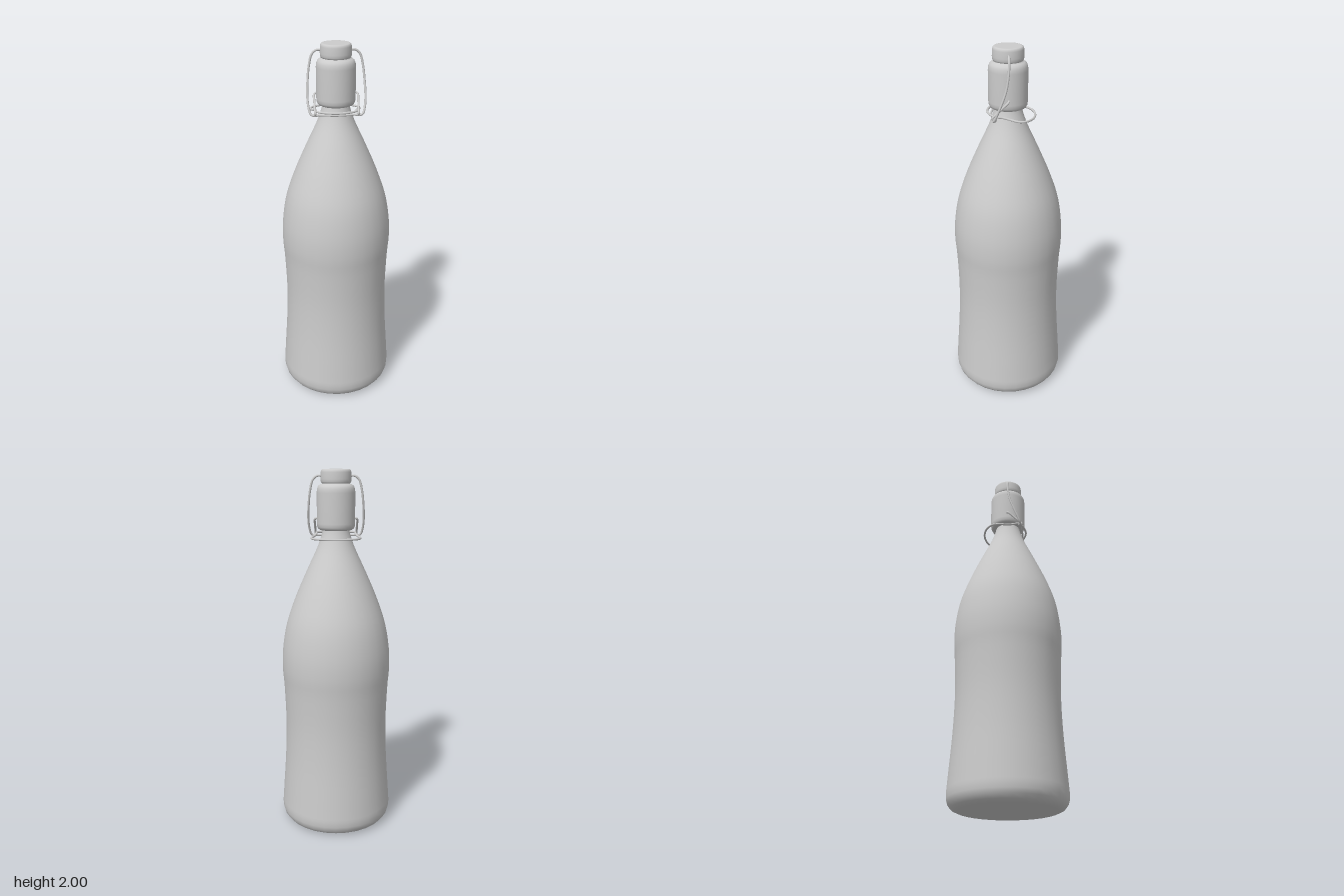
import * as THREE from 'three';

const material = new THREE.MeshStandardMaterial({ color: 0xcccccc, side: THREE.DoubleSide });
const SIDES = 30;
const WIRE = 0.006;

// Revolved part; profile points are [radius, height]
function turned(name, points) {
  const profile = points.map(([r, y]) => new THREE.Vector2(r, y));
  const mesh = new THREE.Mesh(new THREE.LatheGeometry(profile, SIDES), material);
  mesh.name = name;
  return mesh;
}

// Bent wire through points; side = -1 mirrors it to the right
function wire(name, points, side = 1, closed = false) {
  const curve = new THREE.CatmullRomCurve3(
    points.map(([x, y, z]) => new THREE.Vector3(x * side, y, z)), closed, 'centripetal');
  const group = new THREE.Group();
  group.name = name;
  group.add(new THREE.Mesh(new THREE.TubeGeometry(curve, points.length * 7, WIRE, 8, closed), material));
  // Rounded ends
  if (!closed) for (const t of [0, 1]) {
    const end = new THREE.Mesh(new THREE.SphereGeometry(WIRE, 8, 6), material);
    end.position.copy(curve.getPoint(t));
    group.add(end);
  }
  return group;
}

export function createModel() {
  const model = new THREE.Group();
  model.name = 'swingTopBottle';

  // Waisted body: a smooth spline from the base bevel to the neck
  const side = new THREE.SplineCurve([
    [0.316, 0.09], [0.308, 0.2], [0.294, 0.4], [0.288, 0.6], [0.294, 0.8], [0.302, 0.92],
    [0.297, 1.04], [0.272, 1.18], [0.223, 1.32], [0.162, 1.46], [0.106, 1.58], [0.08, 1.65], [0.07, 1.69],
  ].map(([r, y]) => new THREE.Vector2(r, y)));
  const base = [[0, 0.006], [0.2, 0.006], [0.24, 0], [0.268, 0.003], [0.292, 0.014], [0.308, 0.035], [0.315, 0.06]];
  model.add(turned('bottleBody', [...base, ...side.getPoints(48).map((p) => [p.x, p.y])]));

  // Thick rounded mouth
  model.add(turned('mouth', [
    [0.066, 1.684], [0.086, 1.685], [0.095, 1.69], [0.101, 1.702], [0.103, 1.72], [0.103, 1.88],
    [0.101, 1.9], [0.095, 1.914], [0.085, 1.922], [0.074, 1.925], [0.072, 1.935],
  ]));

  // Stopper
  model.add(turned('stopper', [
    [0.07, 1.926], [0.077, 1.928], [0.081, 1.936], [0.082, 1.95], [0.081, 1.985],
    [0.078, 1.995], [0.073, 1.999], [0.066, 2], [0, 2],
  ]));

  // Flat lever loop around the neck, swept back
  const half = [[0.07, 1.664, 0.092], [0.105, 1.664, 0.066], [0.106, 1.66, 0.03], [0.114, 1.653, -0.005],
    [0.13, 1.646, -0.05], [0.122, 1.645, -0.09], [0.085, 1.645, -0.122], [0.045, 1.645, -0.136]];
  const mirrored = half.map(([x, y, z]) => [-x, y, z]).reverse();
  model.add(wire('leverLoop', [[0, 1.664, 0.109], ...half, [0, 1.645, -0.141], ...mirrored], 1, true));

  for (const s of [1, -1]) {
    const label = s > 0 ? 'left' : 'right';
    // Bail from the stopper down to the lever
    model.add(wire(label + 'Bail', [
      [0.07, 1.965, 0], [0.1, 1.965, 0], [0.123, 1.945, 0], [0.138, 1.89, 0.003], [0.147, 1.81, 0.016],
      [0.15, 1.74, 0.04], [0.146, 1.69, 0.06], [0.136, 1.655, 0.074], [0.124, 1.647, 0.078], [0.1, 1.647, 0.078],
    ], s));
    // Pivot arm from the mouth down to the hook
    model.add(wire(label + 'PivotArm', [
      [0.09, 1.745, 0], [0.107, 1.745, 0], [0.114, 1.738, 0.006], [0.114, 1.71, 0.035],
      [0.113, 1.675, 0.07], [0.112, 1.658, 0.085], [0.112, 1.65, 0.08], [0.112, 1.652, 0.068],
    ], s));
  }

  // Front crossbar of the lever, curving past the neck
  model.add(wire('leverCrossbar', [
    [-0.12, 1.648, 0.07], [-0.07, 1.648, 0.08], [0, 1.648, 0.09], [0.07, 1.648, 0.08], [0.12, 1.648, 0.07],
  ]));
  return model;
}
